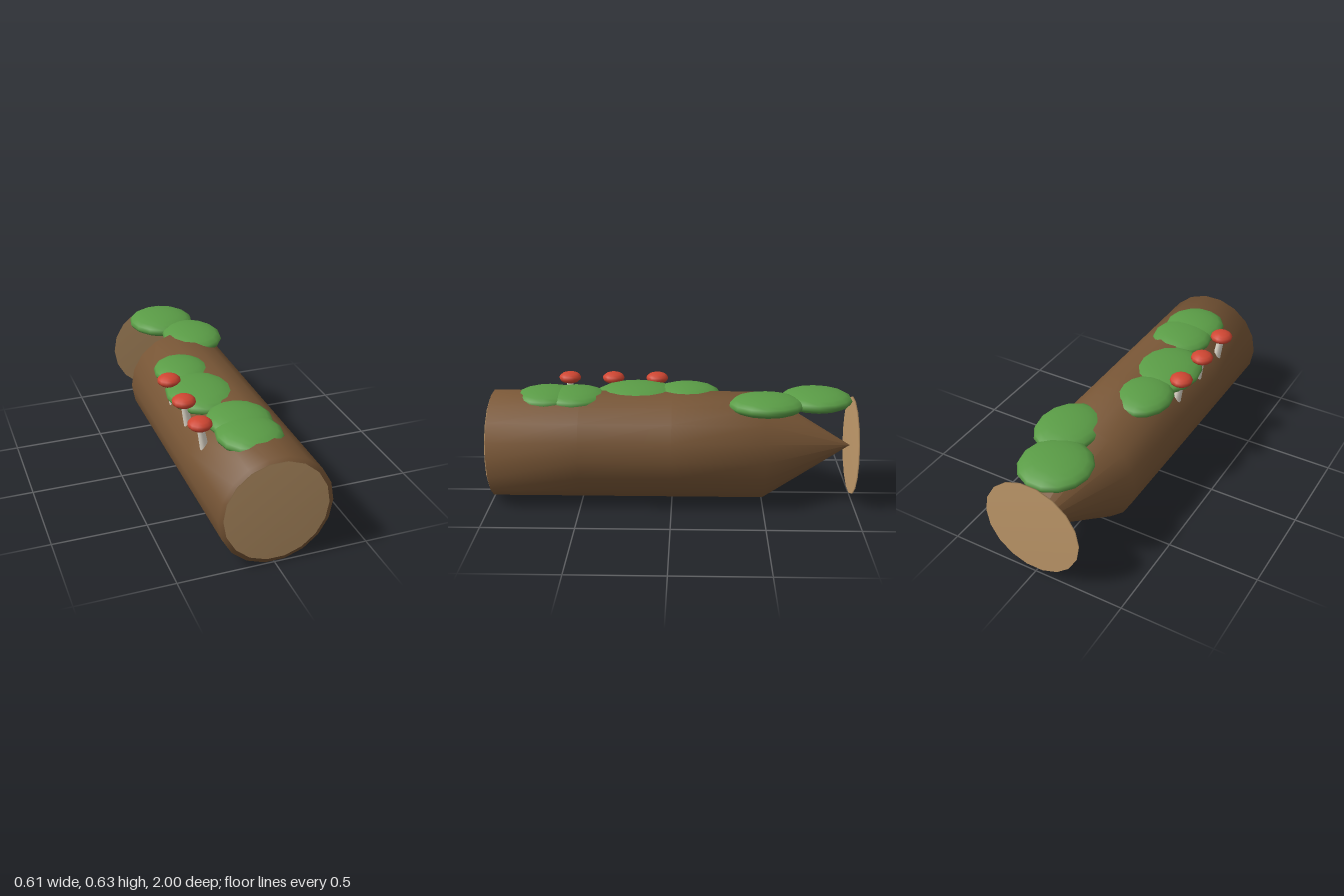
import * as THREE from 'three';

const paint = (name, color) => {
  const m = new THREE.MeshStandardMaterial({ color });
  m.name = name;
  return m;
};

export function createModel() {
  const bark = paint('bark brown', 0x785636);
  const wood = paint('cut wood tan', 0xc19a6b);
  const green = paint('moss green', 0x5a9c46);
  const red = paint('mushroom red', 0xcf4632);
  const cream = paint('stem cream', 0xdfd8ca);

  const group = new THREE.Group();
  group.name = 'mossyLog';
  const CX = 0.006, CY = 0.2925;

  const add = (name, geometry, material, x, y, z, parent = group) => {
    const mesh = new THREE.Mesh(geometry, material);
    mesh.name = name;
    mesh.position.set(x, y, z);
    parent.add(mesh);
    return mesh;
  };

  // 18-sided solid turned around the z axis from [radius, z] points
  const turned = (points) =>
    new THREE.LatheGeometry(points.map(([r, z]) => new THREE.Vector2(r, z)), 18, Math.PI / 2)
      .rotateX(Math.PI / 2);

  // Trunk: flat front end, pointed back end
  const R = 0.297;
  add('trunk', turned([[0, -0.99], [R, -0.5], [R, 0], [R, 0.5], [R, 0.99], [0, 0.99]]), bark, CX, CY, 0);

  // Cut wood discs at both ends
  const disc = turned([[0, -0.004], [0.272, -0.004], [0.272, 0.004], [0, 0.004]]);
  add('frontCutDisc', disc, wood, CX, CY, 0.996);
  add('backCutDisc', disc, wood, CX, CY, -0.996);

  // Moss: flattened blobs [x, z, radiusX, radiusZ]
  const blob = new THREE.SphereGeometry(1, 14, 10);
  [
    [-0.02, 0.69, 0.17, 0.185],
    [-0.015, 0.54, 0.17, 0.185],
    [-0.1, 0.2, 0.185, 0.23],
    [-0.11, -0.08, 0.155, 0.185],
    [0.09, -0.51, 0.17, 0.21],
    [-0.015, -0.79, 0.19, 0.2],
  ].forEach(([x, z, rx, rz], i) => {
    add(`moss${i + 1}`, blob, green, x, 0.553, z).scale.set(rx, 0.056, rz);
  });

  // Mushrooms along the right edge, each with a leaning stem
  const stem = new THREE.CylinderGeometry(0.018, 0.024, 0.16, 10);
  const cap = new THREE.SphereGeometry(1, 12, 8);
  [0.092, 0.342, 0.592].forEach((z, i) => {
    const mushroom = new THREE.Group();
    mushroom.name = `mushroom${i + 1}`;
    mushroom.position.set(-0.241, 0, z);
    add('stem', stem, cream, 0.016, 0.5, 0, mushroom).rotation.z = 0.17;
    add('cap', cap, red, 0, 0.601, 0, mushroom).scale.set(0.063, 0.033, 0.063);
    group.add(mushroom);
  });

  return group;
}
